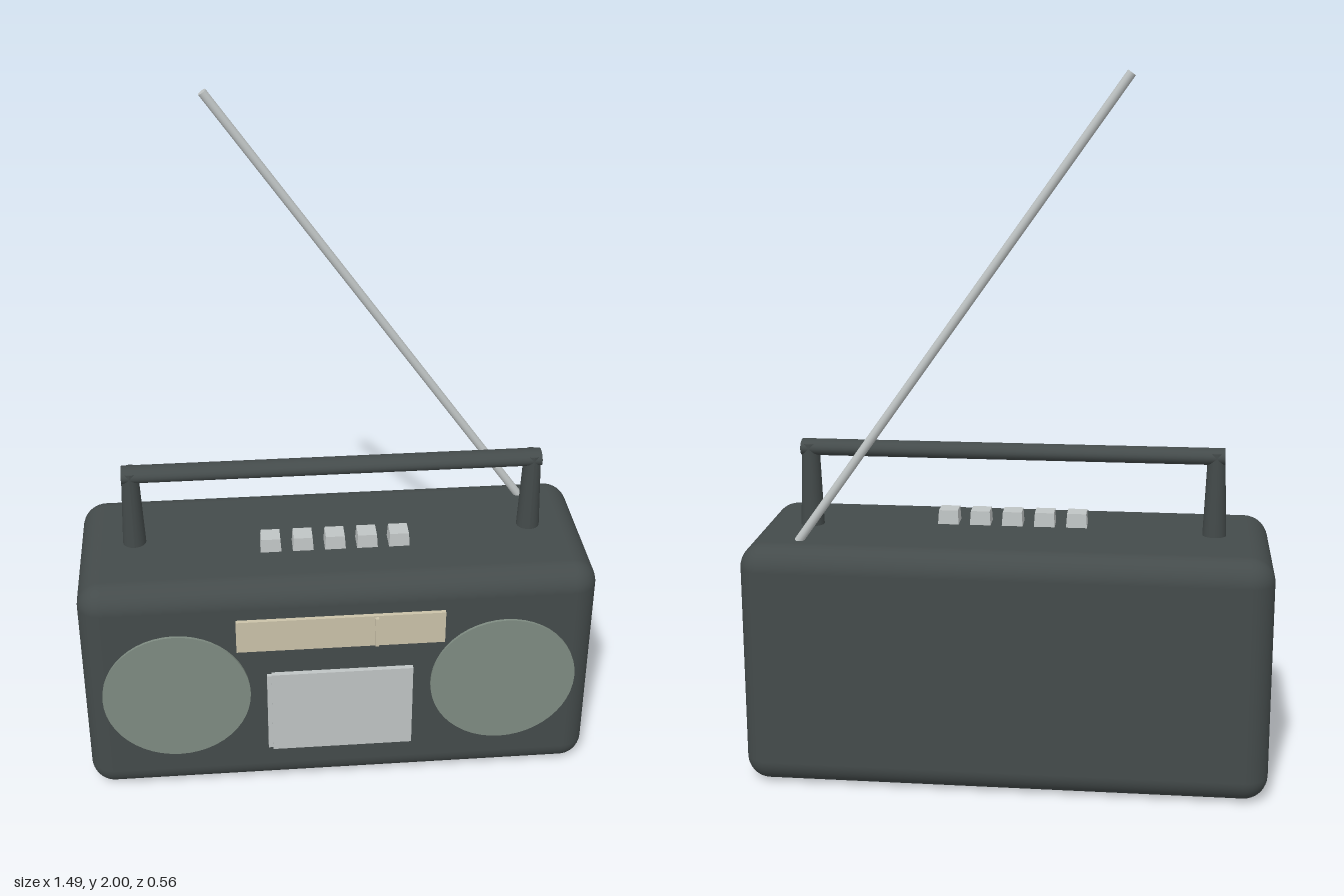
import * as THREE from 'three';
import { RoundedBoxGeometry } from 'three/addons/geometries/RoundedBoxGeometry.js';

const material = (name, color) => {
  const m = new THREE.MeshStandardMaterial({ color });
  m.name = name;
  return m;
};

export function createModel() {
  const radio = new THREE.Group();
  radio.name = 'portableRadio';
  const charcoal = material('charcoal', 0x444b4b);
  const sage = material('sage', 0x7e8b81);
  const silver = material('silver', 0xbfc4c4);
  const cream = material('cream', 0xcac2a9);

  const add = (name, geometry, mat, x, y, z) => {
    const mesh = new THREE.Mesh(geometry, mat);
    mesh.name = name;
    mesh.position.set(x, y, z);
    radio.add(mesh);
    return mesh;
  };

  // Case
  const frontZ = 0.257;
  add('case', new RoundedBoxGeometry(1.49, 0.706, 0.54, 5, 0.07), charcoal, 0, 0.353, -0.013);

  // Speakers
  for (const side of [-1, 1]) {
    const name = side > 0 ? 'leftSpeaker' : 'rightSpeaker';
    add(name, new THREE.CylinderGeometry(0.214, 0.214, 0.03, 48), sage, side * 0.477, 0.345, 0.25)
      .rotation.x = Math.PI / 2;
  }

  // Cassette door with its hinge strip
  add('cassetteDoor', new THREE.BoxGeometry(0.412, 0.276, 0.03), silver, 0.004, 0.273, frontZ);
  add('cassetteHinge', new THREE.BoxGeometry(0.014, 0.266, 0.024), silver, -0.208, 0.273, frontZ);

  // Tuning dial and needle
  add('tuningDial', new THREE.BoxGeometry(0.6, 0.104, 0.03), cream, 0, 0.55, 0.254);
  add('tuningNeedle', new THREE.BoxGeometry(0.01, 0.096, 0.03), cream, 0.102, 0.55, 0.264);

  // Top buttons, slightly narrower at the top
  for (let i = 0; i < 5; i++) {
    const button = new THREE.CylinderGeometry(0.039, 0.0438, 0.05, 4, 1).toNonIndexed();
    button.rotateY(Math.PI / 4);
    button.computeVertexNormals();
    add(`button${i + 1}`, button, silver, (i - 2) * 0.0935, 0.722, 0.044);
  }

  // Carrying handle: tapered posts and an oval grip
  const handleZ = -0.014;
  for (const side of [-1, 1]) {
    const post = new THREE.CylinderGeometry(0.024, 0.035, 0.27, 20);
    const p = post.attributes.position;
    for (let i = 0; i < p.count; i++) {
      const r = Math.hypot(p.getX(i), p.getZ(i));
      if (r > 0.001) p.setZ(i, p.getZ(i) * 0.0325 / r);
    }
    post.computeVertexNormals();
    add(side > 0 ? 'leftHandlePost' : 'rightHandlePost', post, charcoal, side * 0.582, 0.815, handleZ);
  }
  const grip = new THREE.CylinderGeometry(0.0325, 0.0325, 1.212, 20);
  grip.scale(0.0235 / 0.0325, 1, 1);
  grip.rotateZ(Math.PI / 2);
  add('handleGrip', grip, charcoal, 0, 0.9365, handleZ);

  // Slanted aerial
  const foot = new THREE.Vector3(0.586, 0.703, -0.181);
  const tip = new THREE.Vector3(-0.33, 1.992, -0.181);
  const dir = tip.clone().sub(foot);
  const aerial = add('aerial', new THREE.CylinderGeometry(0.0125, 0.0125, dir.length(), 12), silver, 0, 0, 0);
  aerial.position.copy(foot).add(tip).multiplyScalar(0.5);
  aerial.quaternion.setFromUnitVectors(new THREE.Vector3(0, 1, 0), dir.normalize());

  return radio;
}
